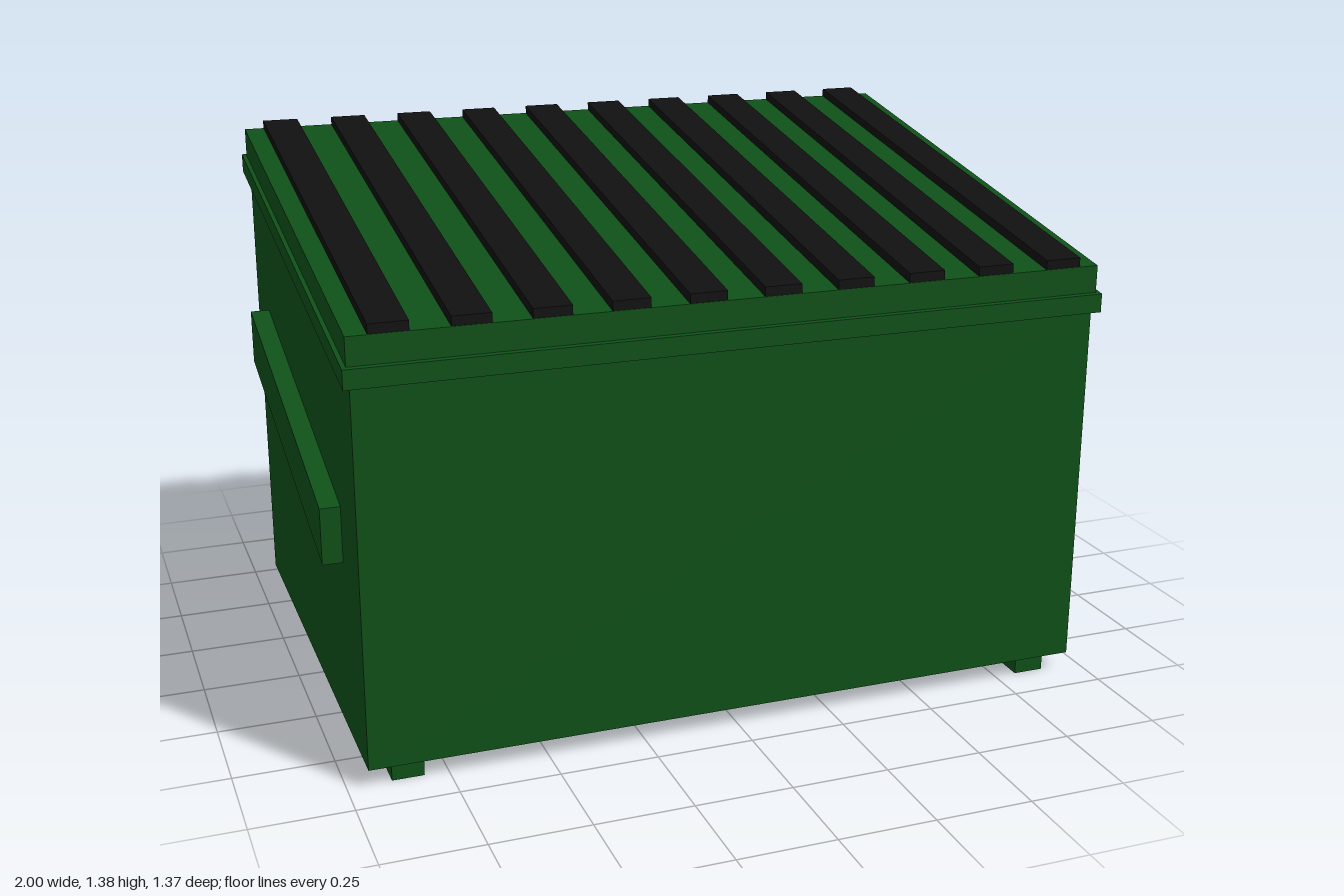
import * as THREE from 'three';

const green = new THREE.MeshStandardMaterial({ color: 0x0f5018 });
const black = new THREE.MeshStandardMaterial({ color: 0x101010 });

// Box whose bottom and top can slope from front (+z) to back (-z)
function slopedBox(name, material, x, width, halfDepth, front, back) {
  const geometry = new THREE.BoxGeometry(width, 1, halfDepth * 2).toNonIndexed();
  const p = geometry.attributes.position;
  for (let i = 0; i < p.count; i++) {
    const [low, high] = p.getZ(i) > 0 ? front : back;
    p.setY(i, p.getY(i) > 0 ? high : low);
  }
  geometry.computeVertexNormals();
  const mesh = new THREE.Mesh(geometry, material);
  mesh.name = name;
  mesh.position.x = x;
  return mesh;
}

export function createModel() {
  const model = new THREE.Group();
  model.name = 'dumpster';

  // Container, rim and lid
  model.add(slopedBox('body', green, 0, 1.9, 0.666, [0.05, 1.02], [0.05, 1.26]));
  model.add(slopedBox('rim', green, 0, 1.936, 0.683, [1.0, 1.048], [1.24, 1.288]));
  model.add(slopedBox('lid', green, 0, 1.914, 0.671, [1.03, 1.12], [1.27, 1.36]));

  // Raised lid ribs
  const ribs = new THREE.Group();
  ribs.name = 'lidRibs';
  for (let i = 0; i < 10; i++) {
    const x = -0.858 + i * (1.716 / 9);
    ribs.add(slopedBox('lidRib', black, x, 0.095, 0.67, [1.115, 1.144], [1.355, 1.381]));
  }
  model.add(ribs);

  // Slanted side lifting pockets and bottom skids
  for (const [side, s] of [['left', 1], ['right', -1]]) {
    model.add(slopedBox(side + 'LiftPocket', green, s * 0.97, 0.06, 0.475, [0.507, 0.65], [0.745, 0.888]));
    model.add(slopedBox(side + 'Skid', green, s * 0.85, 0.08, 0.642, [0, 0.06], [0, 0.06]));
  }
  return model;
}
